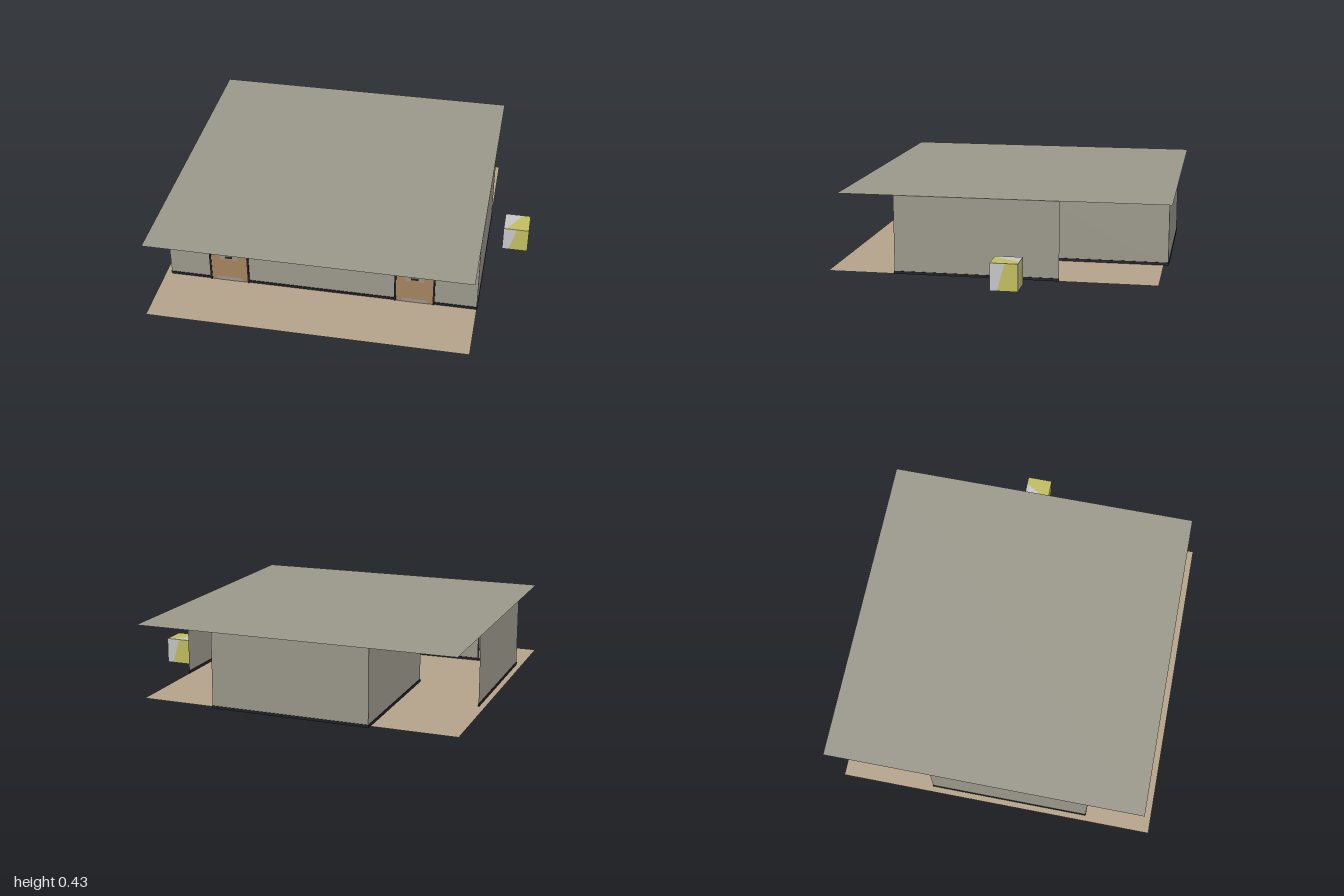
import * as THREE from 'three';

const mat = (name, color) => {
  const m = new THREE.MeshStandardMaterial({ color, side: THREE.DoubleSide });
  m.name = name;
  return m;
};

export function createModel() {
  const M = {
    concrete: mat('concrete', 0x9d9a8d),
    ground: mat('sand floor', 0xb7a58c),
    trim: mat('black trim', 0x222226),
    wood: mat('door wood', 0xa58660),
    paleWood: mat('pale wood', 0xcfab7e),
    metal: mat('grey metal', 0x9c968c),
    crateGrey: mat('crate grey', 0xc8c8c8),
    crateYellow: mat('crate yellow', 0xc4c062),
  };
  const model = new THREE.Group();
  model.name = 'pavilion';

  const add = (parent, name, geo, material, x = 0, y = 0, z = 0) => {
    const mesh = new THREE.Mesh(geo, material);
    mesh.name = name;
    mesh.position.set(x, y, z);
    parent.add(mesh);
    return mesh;
  };
  const shapeGeo = (pts) => new THREE.ShapeGeometry(new THREE.Shape(pts.map(([x, y]) => new THREE.Vector2(x, y))));

  // Flat floor and roof sheets
  const H = 0.425, S = 1.765;
  const sheet = () => new THREE.PlaneGeometry(S, S).rotateX(-Math.PI / 2);
  add(model, 'floor', sheet(), M.ground, -0.1175, 0, 0.0275);
  add(model, 'roof', sheet(), M.concrete, -0.1175, H, -0.0325);

  // Thin wall between two plan points, with a skirting strip on both faces
  function wall(name, x1, z1, x2, z2) {
    const len = Math.hypot(x2 - x1, z2 - z1);
    const g = new THREE.Group();
    g.name = name;
    g.position.set((x1 + x2) / 2, 0, (z1 + z2) / 2);
    g.rotation.y = -Math.atan2(z2 - z1, x2 - x1);
    add(g, 'wallPanel', new THREE.PlaneGeometry(len, H), M.concrete, 0, H / 2, 0);
    add(g, 'skirting', new THREE.BoxGeometry(len, 0.015, 0.006), M.trim, 0, 0.0078, 0);
    model.add(g);
  }
  // Front hall, open at the back
  const L = -0.965, R = 0.765, F = 0.543, B = -0.34;
  wall('frontWall', L, F, R, F);
  wall('rightSideWall', L, B, L, F);
  wall('leftSideWall', R, B, R, F);
  // Square rear room
  const l = -0.535, r = 0.34, f = -0.007, b = -0.88;
  wall('rearRoomBack', l, b, r, b);
  wall('rearRoomFront', l, f, r, f);
  wall('rearRoomRight', l, b, l, f);
  wall('rearRoomLeft', r, b, r, f);

  // Doors with black frame and shallow painted details
  function door(x) {
    const g = new THREE.Group();
    g.name = 'door';
    g.position.set(x, 0, F);
    const w = 0.224, h = 0.298, t = 0.01;
    const plate = (name, m, px, py, pw, ph, z = 0.006) =>
      add(g, name, new THREE.PlaneGeometry(pw, ph), m, px, py, z);
    plate('doorLeaf', M.wood, 0, h / 2, w - t, h, 0.004);
    add(g, 'doorHead', shapeGeo([[-0.1, 0.288], [-0.07, 0.255], [0.07, 0.255], [0.1, 0.288]]), M.paleWood, 0, 0, 0.005);
    plate('threshold', M.metal, 0, 0.013, 0.14, 0.024);
    plate('handlePlate', M.trim, 0, 0.163, 0.04, 0.014);
    for (const s of [-1, 1]) {
      add(g, 'doorPost', new THREE.BoxGeometry(t, h, 0.01), M.trim, s * (w - t) / 2, h / 2, 0.003);
      add(g, 'cornerPanel', shapeGeo([[s * 0.105, 0.285], [s * 0.105, 0.235], [s * 0.078, 0.255]]), M.paleWood, 0, 0, 0.005);
      plate('hangingPanel', M.metal, s * 0.037, 0.2, 0.028, 0.11);
      plate('hinge', M.trim, s * 0.082, 0.222, 0.025, 0.014);
    }
    add(g, 'lintel', new THREE.BoxGeometry(w, t, 0.01), M.trim, 0, h - t / 2, 0.003);
    model.add(g);
  }
  door(-0.624);
  door(0.42);

  // Two-tone crate: every face is split by a slanted line
  const crate = new THREE.Group();
  crate.name = 'crate';
  const a = 0.0725;
  crate.position.set(0.9275, a, -0.0925);
  const face = (rx, ry, low, high) => {
    const p = -a + 2 * a * low, q = -a + 2 * a * high;
    const side = new THREE.Group();
    side.name = 'crateFace';
    side.rotation.set(rx, ry, 0);
    add(side, 'greyHalf', shapeGeo([[-a, -a], [p, -a], [q, a], [-a, a]]), M.crateGrey, 0, 0, a);
    add(side, 'yellowHalf', shapeGeo([[p, -a], [a, -a], [a, a], [q, a]]), M.crateYellow, 0, 0, a);
    crate.add(side);
  };
  for (let i = 0; i < 4; i++) face(0, i * Math.PI / 2, 0.25, 0.53);
  face(-Math.PI / 2, 0, 0.1, 0.7);
  face(Math.PI / 2, 0, 0.1, 0.7);
  model.add(crate);

  return model;
}
